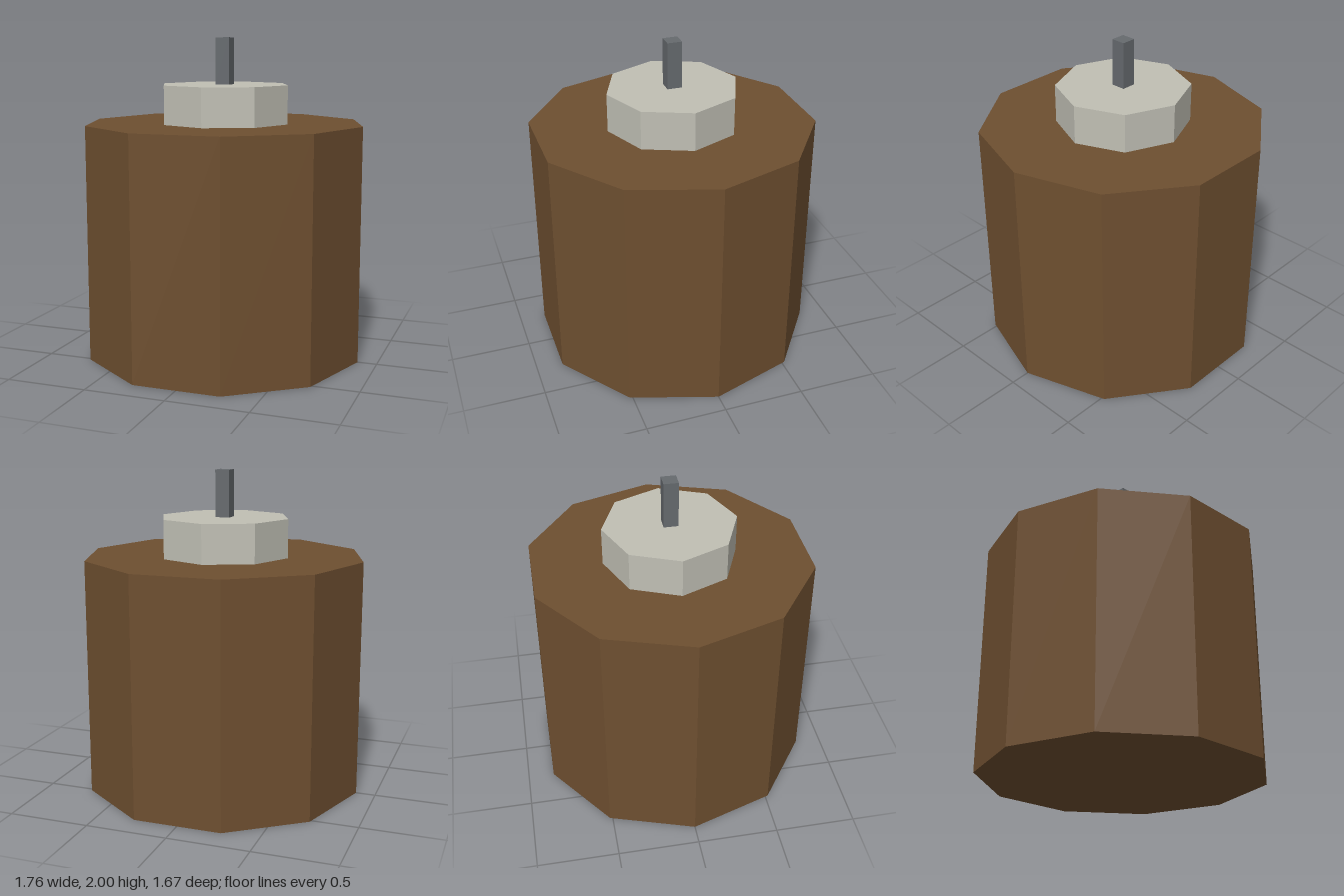
import * as THREE from 'three';

function flatMaterial(name, color) {
  const m = new THREE.MeshStandardMaterial({ color, flatShading: true });
  m.name = name;
  return m;
}

export function createModel() {
  const group = new THREE.Group();
  group.name = 'canister';

  const add = (name, geometry, material, bottom, top) => {
    const mesh = new THREE.Mesh(geometry, material);
    mesh.name = name;
    mesh.position.y = (bottom + top) / 2;
    group.add(mesh);
  };

  // Upright prism with a corner on the x axis
  const prism = (radius, height, sides) =>
    new THREE.CylinderGeometry(radius, radius, height, sides, 1, false, Math.PI / 2);

  const bodyTop = 1.47, capTop = 1.71, postTop = 2;

  // Ten-sided body
  add('body', prism(0.88, bodyTop, 10), flatMaterial('brown', 0x6e4f30), 0, bodyTop);

  // Eight-sided cap
  add('cap', prism(0.41, capTop - bodyTop, 8), flatMaterial('pale grey', 0xc0bfb4), bodyTop, capTop);

  // Square post
  add('post', new THREE.BoxGeometry(0.09, postTop - capTop, 0.09), flatMaterial('dark grey', 0x666a6e), capTop, postTop);

  return group;
}
